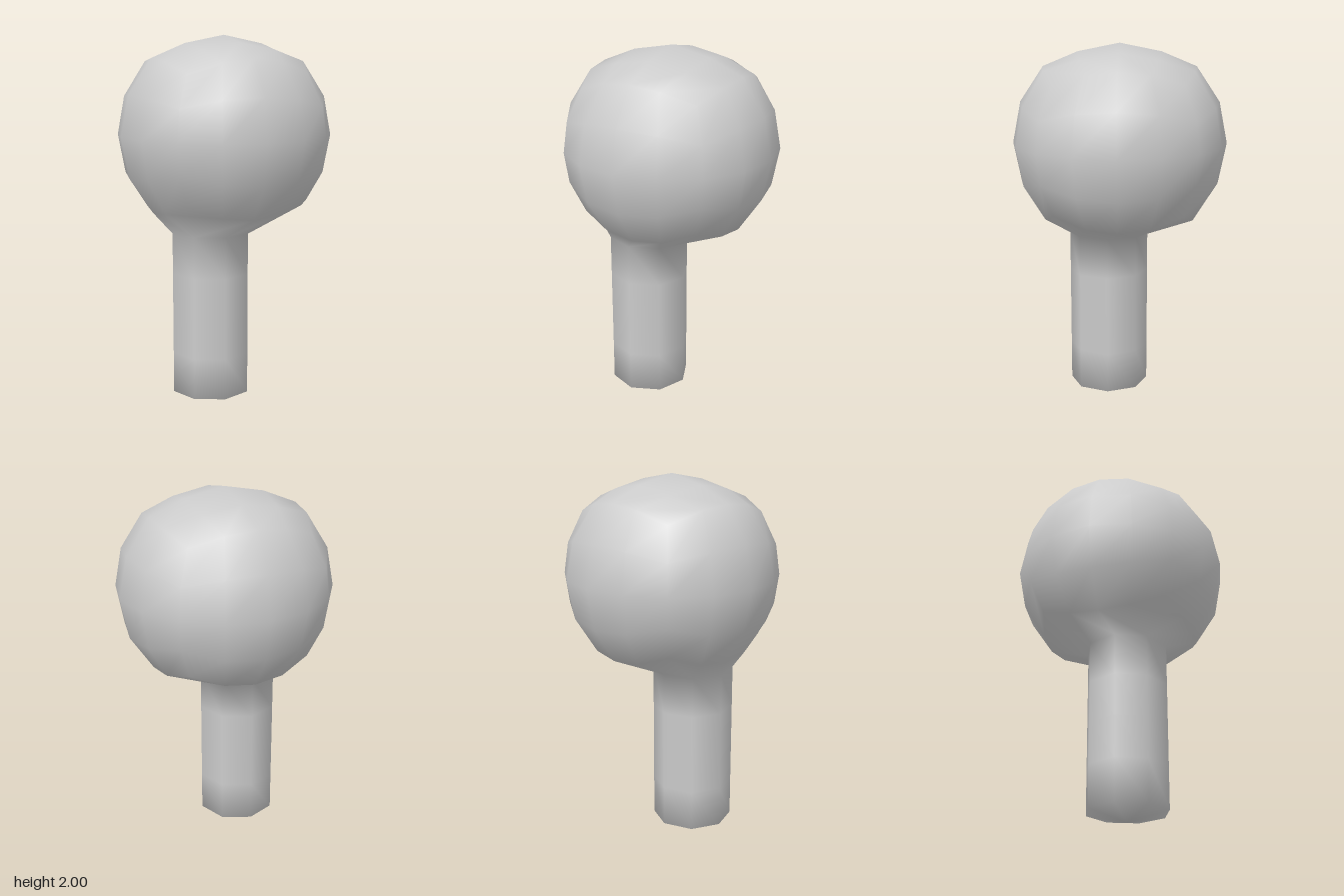
import * as THREE from 'three';
import { mergeGeometries, mergeVertices } from 'three/addons/utils/BufferGeometryUtils.js';

const HEAD_R = 0.583, HEAD_Y = 1.465;
const STEM = { x: -0.105, z: 0.065, r: 0.22, rim: 0.05, top: 0.945 };

// Round head: a subdivided cube bent into a ball, slightly pressed in on top,
// with its bottom patch opened and pulled aside to meet the stem
function headGeometry() {
  const geo = new THREE.BoxGeometry(2, 2, 2, 4, 4, 4);
  geo.clearGroups();
  const pos = geo.attributes.position;
  const inner = [];
  const v = new THREE.Vector3();
  const bend = (t) => Math.tan(t * Math.PI / 4);
  for (let i = 0; i < pos.count; i++) {
    const x = pos.getX(i), y = pos.getY(i), z = pos.getZ(i);
    const patch = Math.abs(x) < 0.6 && Math.abs(z) < 0.6;
    inner[i] = patch && y < -0.9;
    v.set(bend(x), bend(y), bend(z)).setLength(HEAD_R);
    v.y += HEAD_Y;
    if (patch && y > 0.9) v.y -= HEAD_Y + HEAD_R - 2;
    if (inner[i]) {
      const a = Math.atan2(x, z);
      v.set(STEM.x + STEM.r * Math.sin(a), STEM.top, STEM.z + STEM.r * Math.cos(a));
    }
    pos.setXYZ(i, v.x, v.y, v.z);
  }
  // Leave out the faces where the stem is attached
  const old = geo.index.array, kept = [];
  for (let i = 0; i < old.length; i += 3) {
    const tri = [old[i], old[i + 1], old[i + 2]];
    if (!tri.every((k) => inner[k])) kept.push(...tri);
  }
  geo.setIndex(kept);
  return geo;
}

// Eight-sided stem with a shallow pointed end
function stemGeometry() {
  const profile = [new THREE.Vector2(0, 0)];
  for (let i = 0; i <= 4; i++) {
    profile.push(new THREE.Vector2(STEM.r, THREE.MathUtils.lerp(STEM.rim, STEM.top, i / 4)));
  }
  return new THREE.LatheGeometry(profile, 8).translate(STEM.x, 0, STEM.z);
}

export function createModel() {
  // Weld both parts so the shading flows from head to stem
  const parts = [headGeometry(), stemGeometry()];
  for (const p of parts) {
    p.deleteAttribute('uv');
    p.deleteAttribute('normal');
  }
  const geo = mergeVertices(mergeGeometries(parts), 1e-4);
  geo.computeVertexNormals();

  const body = new THREE.Mesh(geo, new THREE.MeshStandardMaterial({ color: 0xcccccc }));
  body.name = 'headAndStem';
  const group = new THREE.Group();
  group.name = 'ballOnStem';
  group.add(body);
  return group;
}
